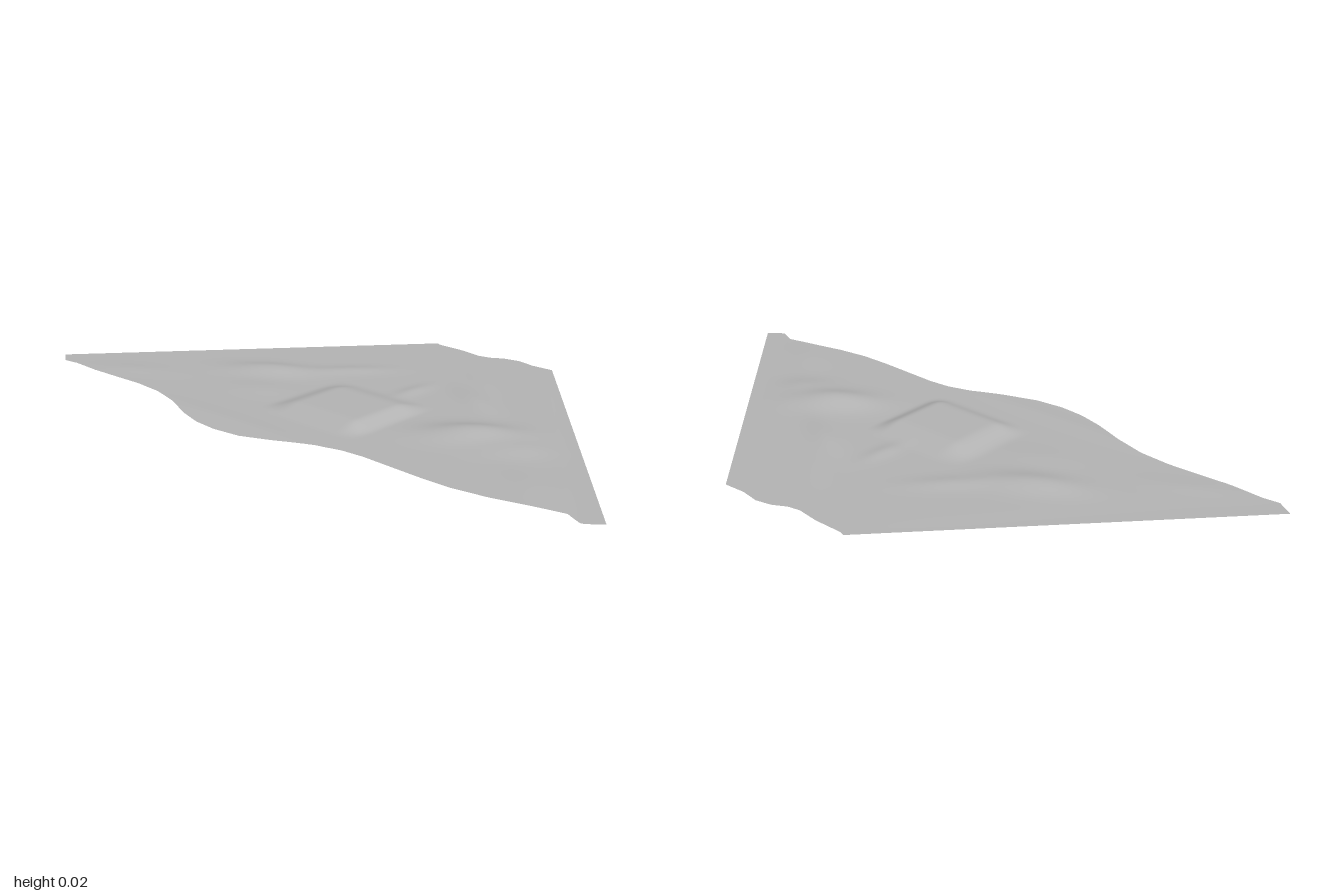
import * as THREE from 'three';

// Outline of the ground sheet as [x, z] points
const BACK = [[-0.21, -0.5], [-0.195, -0.494], [-0.1, -0.494], [-0.03, -0.484], [0.01, -0.492],
  [0.05, -0.515], [0.1, -0.526], [0.16, -0.516], [0.23, -0.52]];
const FRONT = [[-1, 0.385], [-0.95, 0.42], [-0.9, 0.414], [-0.8, 0.42], [-0.6, 0.412], [-0.5, 0.42],
  [-0.4, 0.448], [-0.3, 0.49], [-0.22, 0.513], [-0.14, 0.52], [-0.05, 0.51], [0.05, 0.472], [0.15, 0.425],
  [0.23, 0.403], [0.3, 0.398], [0.5, 0.406], [0.6, 0.405], [0.7, 0.39], [0.8, 0.365], [0.9, 0.342],
  [0.955, 0.367], [1, 0.33]];

// Z of an edge at a given x
function edgeZ(edge, x) {
  let i = 0;
  while (i < edge.length - 2 && x > edge[i + 1][0]) i++;
  const [a, b] = [edge[i], edge[i + 1]];
  return THREE.MathUtils.lerp(a[1], b[1], (x - a[0]) / (b[0] - a[0]));
}

// Soft elongated hills: x, z, length, width, angle, height
const HILLS = [
  [-0.4, 0.06, 0.13, 0.06, 0.5, 0.015],
  [-0.3, 0.2, 0.1, 0.06, 0.2, 0.004],
  [0.41, 0.08, 0.13, 0.07, 0.6, 0.023],
  [0.56, 0.1, 0.1, 0.06, 0.7, 0.008],
  [0.24, -0.13, 0.12, 0.04, -0.5, 0.008],
  [-0.22, -0.1, 0.12, 0.04, 0.8, 0.006],
  [0.05, -0.08, 0.03, 0.07, 0, 0.005],
  [0.15, -0.27, 0.12, 0.03, -0.6, 0.002],
  [-0.15, 0.44, 0.3, 0.04, 0, 0.004],
  [-0.72, 0.33, 0.14, 0.05, 0.4, 0.003],
  [0.75, 0.27, 0.12, 0.05, -0.4, 0.004]];

function height(x, z) {
  let y = 0.001;
  for (const [cx, cz, l, w, angle, h] of HILLS) {
    const dx = x - cx, dz = z - cz, c = Math.cos(angle), s = Math.sin(angle);
    const a = (dx * c - dz * s) / l, b = (dx * s + dz * c) / w;
    y += h * Math.exp(-a * a - b * b);
  }
  // Flat raised pad in the middle
  const step = THREE.MathUtils.smoothstep;
  const pad = step(x, -0.18, -0.08) * (1 - step(x, 0.13, 0.2)) * step(z, -0.02, 0.09) * (1 - step(z, 0.25, 0.33));
  return THREE.MathUtils.lerp(y, 0.022, pad);
}

export function createModel() {
  const group = new THREE.Group();
  group.name = 'terrain';
  const stone = new THREE.MeshStandardMaterial({ color: 0xb4b4b4, side: THREE.DoubleSide });
  stone.name = 'pale grey ground';

  // Grid stretched between the back and front edges
  const NU = 160, NV = 80;
  const geometry = new THREE.PlaneGeometry(1, 1, NU, NV);
  const p = geometry.attributes.position;
  for (let i = 0; i < p.count; i++) {
    const u = p.getX(i) + 0.5, v = 0.5 - p.getY(i);
    const bx = -0.21 + 0.44 * u, fx = -1 + 2 * u;
    const x = THREE.MathUtils.lerp(bx, fx, v);
    const z = THREE.MathUtils.lerp(edgeZ(BACK, bx), edgeZ(FRONT, fx), v);
    // Relief fades out towards the sloping sides and the back
    const rim = THREE.MathUtils.smoothstep(Math.min(u, 1 - u), -0.02, 0.12) * THREE.MathUtils.smoothstep(v, 0, 0.3);
    p.setXYZ(i, x, height(x, z) * rim, z);
  }
  geometry.computeVertexNormals();
  const ground = new THREE.Mesh(geometry, stone);
  ground.name = 'groundSheet';
  group.add(ground);
  return group;
}
